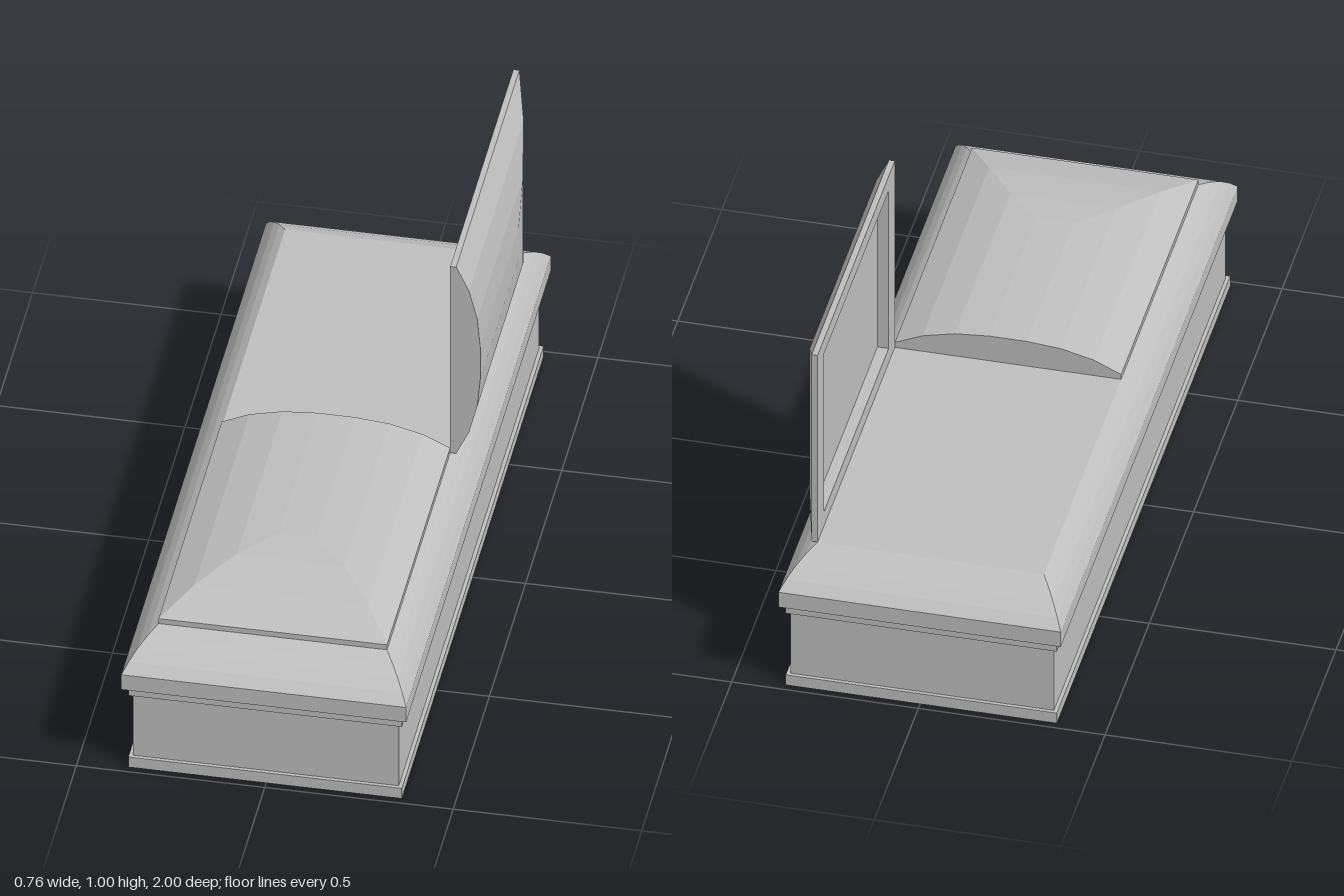
import * as THREE from 'three';

const CX = -0.003;      // body centre line
const TOP = 0.397;      // height of the flat deck
const LID_W = 0.303;    // lid half width
const LID_L = 0.873;    // lid length

const grey = new THREE.MeshStandardMaterial({ color: 0xbfbfbf, flatShading: true });
grey.name = 'plain grey';

// Skins a stack of rectangles [x0, x1, z0, z1, y], closed at both ends
function loft(name, rings) {
  const pos = [];
  const quad = (a, b, c, d) => [a, b, c, a, c, d].forEach((p) => pos.push(...p));
  const corners = rings.map(([x0, x1, z0, z1, y]) =>
    [[x0, y, z1], [x1, y, z1], [x1, y, z0], [x0, y, z0]]);
  for (let i = 0; i < corners.length - 1; i++) {
    const lo = corners[i], hi = corners[i + 1];
    for (let k = 0; k < 4; k++) {
      const n = (k + 1) % 4;
      quad(lo[k], lo[n], hi[n], hi[k]);
    }
  }
  const first = corners[0], last = corners[corners.length - 1];
  quad(first[3], first[2], first[1], first[0]);
  quad(...last);
  const geo = new THREE.BufferGeometry();
  geo.setAttribute('position', new THREE.Float32BufferAttribute(pos, 3));
  geo.computeVertexNormals();
  const mesh = new THREE.Mesh(geo, grey);
  mesh.name = name;
  return mesh;
}

// Centred rectangle ring
const ring = (hx, hz, y) => [-hx, hx, -hz, hz, y];

// Half lid with a recessed underside, running from z = 0 towards dir
function lid(name, dir) {
  const span = (hx, near, far, y) =>
    dir > 0 ? [-hx, hx, near, far, y] : [-hx, hx, -far, -near, y];
  const inner = LID_W - 0.047;
  return loft(name, [
    span(inner, 0.07, LID_L - 0.07, 0.03),
    span(inner, 0.07, LID_L - 0.07, 0),
    span(LID_W, 0, LID_L, 0),
    span(LID_W, 0, LID_L, 0.016),
    span(0.23, 0, 0.755, 0.05),
    span(0.142, 0, 0.63, 0.072),
    span(0.05, 0, 0.53, 0.08),
  ]);
}

export function createModel() {
  const model = new THREE.Group();
  model.name = 'casket';

  // Body: plinth, walls and mouldings
  const body = new THREE.Group();
  body.name = 'body';
  body.position.x = CX;
  const tiers = [
    ['plinth', 0.363, 0.98, 0, 0.033],
    ['walls', 0.353, 0.97, 0.033, 0.233],
    ['lowerMoulding', 0.363, 0.98, 0.233, 0.265],
  ];
  for (const [name, hx, hz, y0, y1] of tiers) {
    body.add(loft(name, [ring(hx, hz, y0), ring(hx, hz, y1)]));
  }

  // Upper rim curving in to the flat deck: [inward, upward] fractions
  const curve = [[0, 0], [0.2, 0.31], [0.43, 0.59], [0.7, 0.82], [1, 1]];
  body.add(loft('shoulder', [
    ring(0.378, 1, 0.265),
    ...curve.map(([f, h]) =>
      ring(0.378 - f * (0.378 - LID_W), 1 - f * (1 - LID_L), 0.313 + h * (TOP - 0.313))),
  ]));
  model.add(body);

  // Closed half lid at the front
  const closed = lid('closedLid', 1);
  closed.position.set(CX, TOP, 0);
  model.add(closed);

  // Open half lid at the back, standing upright on its hinge side
  const open = lid('openLid', -1);
  open.rotation.z = -Math.PI / 2;
  open.position.set(0.3, TOP + LID_W, 0);
  model.add(open);

  return model;
}
